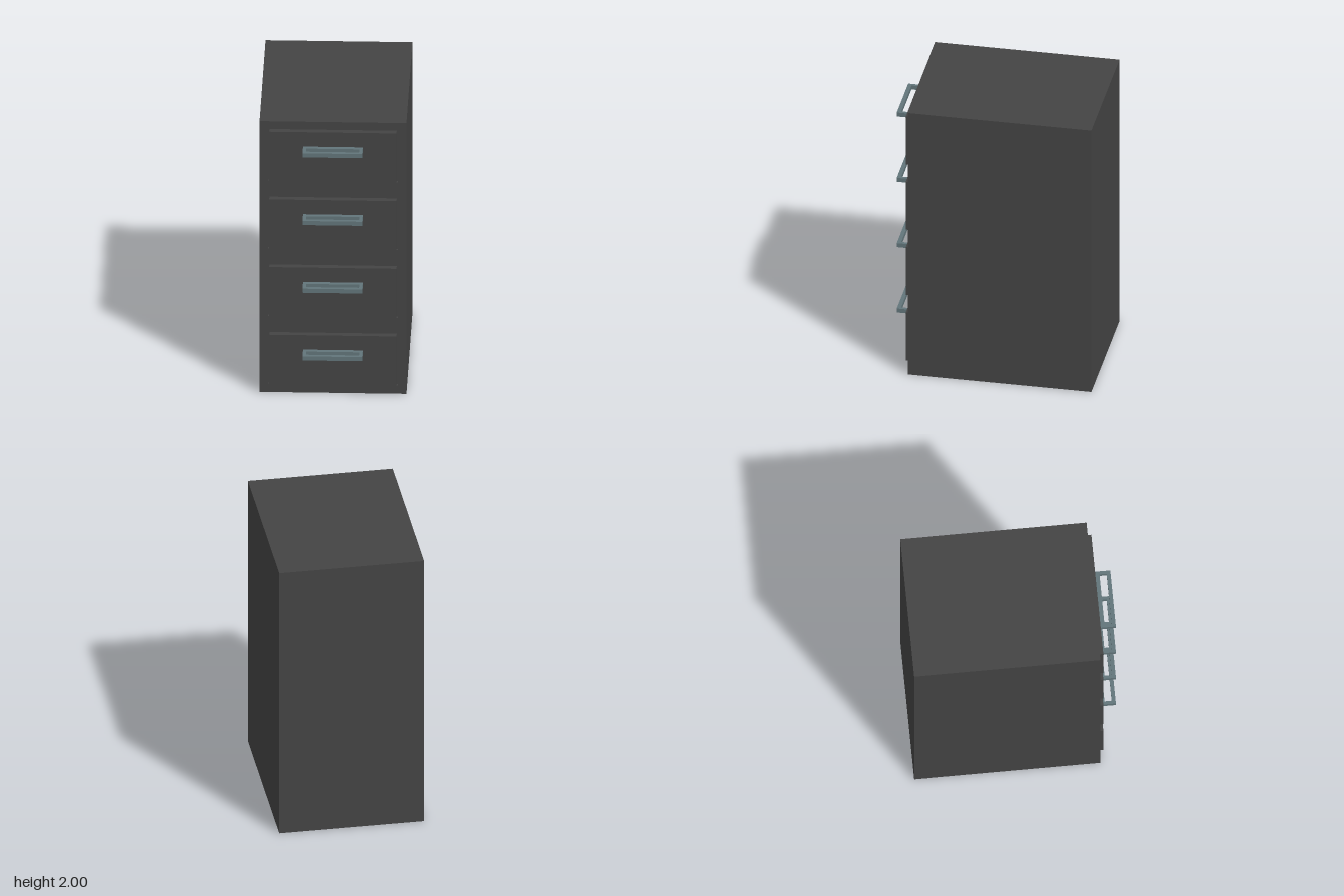
import * as THREE from 'three';

const DRAWERS = 4, PITCH = 0.5, FIRST_Y = 0.252;
const BACK = -0.69, FRONT = 0.56, RECESS = 0.02;

// Rectangle centred on (cx, cy), as a Shape or a Path
function rect(Type, cx, cy, w, h) {
  const r = new Type();
  r.moveTo(cx - w / 2, cy - h / 2);
  r.lineTo(cx + w / 2, cy - h / 2);
  r.lineTo(cx + w / 2, cy + h / 2);
  r.lineTo(cx - w / 2, cy + h / 2);
  r.closePath();
  return r;
}

export function createModel() {
  const group = new THREE.Group();
  const charcoal = new THREE.MeshStandardMaterial({ color: 0x444444 });
  charcoal.name = 'charcoal';
  const steel = new THREE.MeshStandardMaterial({ color: 0x62757a });
  steel.name = 'blueGreySteel';

  const add = (name, geometry, material, x, y, z) => {
    const mesh = new THREE.Mesh(geometry, material);
    mesh.name = name;
    mesh.position.set(x, y, z);
    group.add(mesh);
  };

  // Cabinet body, up to the back of the shallow drawer recesses
  const depth = FRONT - RECESS - BACK;
  add('cabinetBody', new THREE.BoxGeometry(0.98, 2, depth), charcoal, 0, 1, BACK + depth / 2);

  // Front frame with one opening for each drawer
  const frame = rect(THREE.Shape, 0, 1, 0.98, 2);
  for (let i = 0; i < DRAWERS; i++) {
    frame.holes.push(rect(THREE.Path, 0, FIRST_Y + i * PITCH, 0.866, 0.382));
  }
  add('frontFrame', new THREE.ExtrudeGeometry(frame, { depth: RECESS, bevelEnabled: false }),
    charcoal, 0, 0, FRONT - RECESS);

  // Drawer front, standing proud of the frame
  const panel = new THREE.BoxGeometry(0.85, 0.366, 0.046);

  // Handle: a flat horizontal loop with a slot for the fingers
  const loop = rect(THREE.Shape, 0, 0.638, 0.4, 0.106);
  loop.holes.push(rect(THREE.Path, 0, 0.641, 0.356, 0.048));
  const handle = new THREE.ExtrudeGeometry(loop, { depth: 0.03, bevelEnabled: false });
  handle.rotateX(Math.PI / 2);

  for (let i = 0; i < DRAWERS; i++) {
    const y = FIRST_Y + i * PITCH;
    add('drawerFront' + (i + 1), panel, charcoal, 0, y, 0.563);
    add('drawerHandle' + (i + 1), handle, steel, 0, y + 0.077, 0);
  }
  return group;
}
